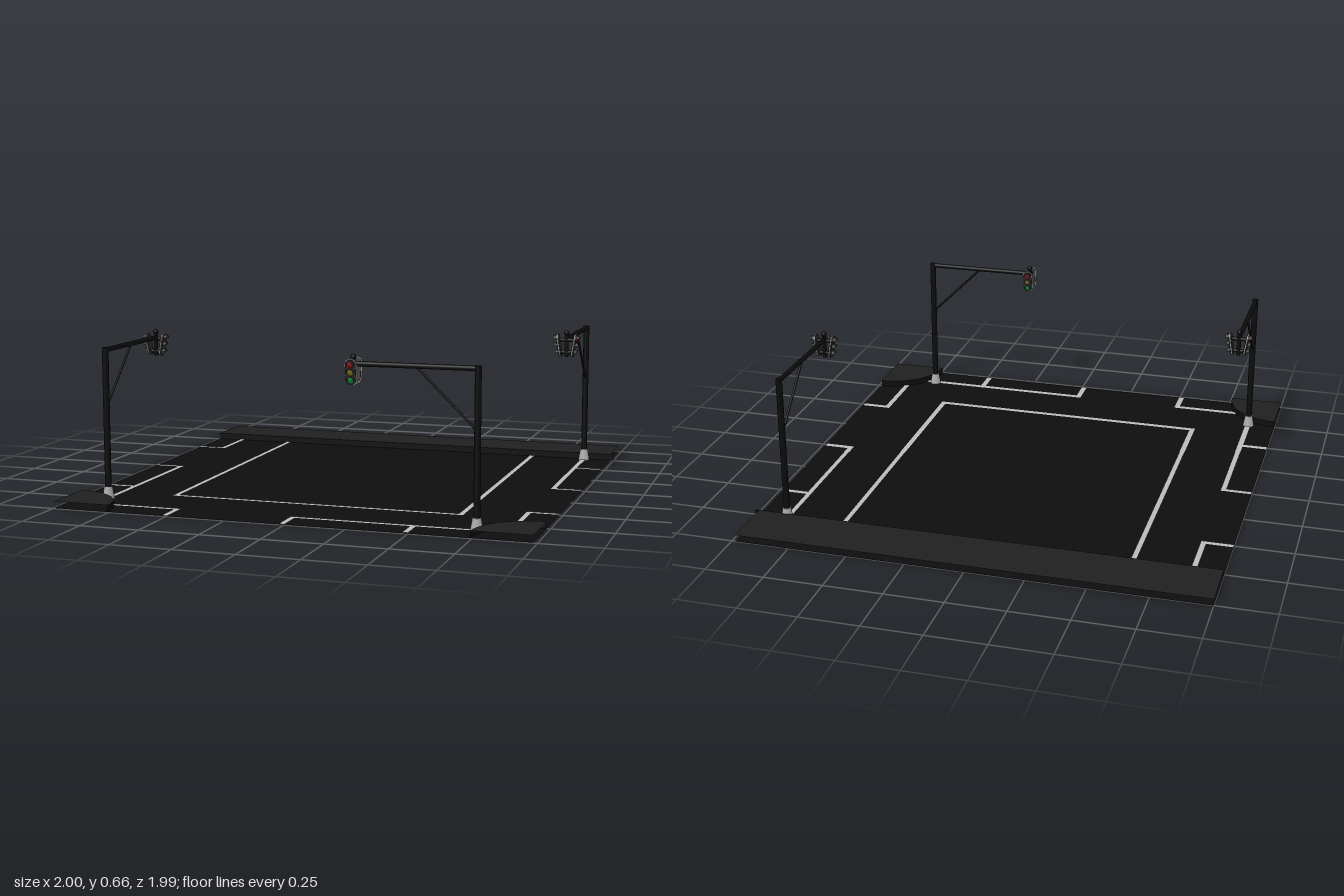
import * as THREE from 'three';

const mat = (color) => new THREE.MeshStandardMaterial({ color, side: THREE.DoubleSide });
const asphalt = mat(0x0d0d0d), walk = mat(0x202020), paint = mat(0xbbbbbb), metal = mat(0x0c0c0c);
const concrete = mat(0xaaaaaa), casing = mat(0x2a2a2a);
const lampMats = [mat(0x8a1018), mat(0x7a6420), mat(0x0f8030)];

function add(parent, name, geometry, material, x = 0, y = 0, z = 0) {
  const mesh = new THREE.Mesh(geometry, material);
  mesh.name = name;
  mesh.position.set(x, y, z);
  parent.add(mesh);
  return mesh;
}

// Flat rectangle on the ground between two corners
function ground(parent, name, x0, z0, x1, z1, y, material) {
  const g = new THREE.PlaneGeometry(x1 - x0, z1 - z0).rotateX(-Math.PI / 2);
  return add(parent, name, g, material, (x0 + x1) / 2, y, (z0 + z1) / 2);
}

// Round bar between two points
function bar(parent, name, a, b, r, material = metal) {
  const p = new THREE.Vector3(...a), q = new THREE.Vector3(...b);
  const d = q.clone().sub(p);
  const mesh = add(parent, name, new THREE.CylinderGeometry(r, r, d.length(), 12), material);
  mesh.position.copy(p).add(q).multiplyScalar(0.5);
  mesh.quaternion.setFromUnitVectors(new THREE.Vector3(0, 1, 0), d.normalize());
  return mesh;
}

// Upright plate with round ends
function capsulePlate(w, h, depth) {
  const r = w / 2, s = h / 2 - r;
  const shape = new THREE.Shape();
  shape.absarc(0, s, r, 0, Math.PI);
  shape.absarc(0, -s, r, Math.PI, Math.PI * 2);
  shape.closePath();
  return new THREE.ExtrudeGeometry(shape, { depth, bevelEnabled: false, curveSegments: 10 });
}

// Signal head facing +z, leaning forward
function signalHead() {
  const head = new THREE.Group();
  head.name = 'signalHead';
  add(head, 'rim', capsulePlate(0.05, 0.108, 0.003), concrete);
  add(head, 'casing', capsulePlate(0.042, 0.1, 0.012), casing, 0, 0, -0.004);
  lampMats.forEach((m, i) => {
    const y = 0.031 - i * 0.031;
    const lamp = add(head, 'lamp', new THREE.SphereGeometry(0.0135, 14, 8), m, 0, y, 0.008);
    lamp.scale.z = 0.4;
    const hood = new THREE.CylinderGeometry(0.0145, 0.0145, 0.014, 14, 1, true, Math.PI / 2, Math.PI);
    add(head, 'hood', hood.rotateX(Math.PI / 2), casing, 0, y, 0.014);
  });
  return head;
}

// Mast with its arm reaching along +x
function trafficLight(x, z, turn) {
  const g = new THREE.Group();
  g.name = 'trafficLight';
  g.position.set(x, 0, z);
  g.rotation.y = turn;
  const reach = 0.495, armY = 0.625;
  add(g, 'footing', new THREE.CylinderGeometry(0.017, 0.026, 0.05, 16), concrete, 0, 0.025, 0);
  bar(g, 'mast', [0, 0, 0], [0, 0.635, 0], 0.0135);
  bar(g, 'arm', [0, armY, 0], [reach, armY, 0], 0.0105);
  bar(g, 'brace', [0, 0.385, 0], [0.245, armY, 0], 0.005);
  bar(g, 'hanger', [reach, 0.545, 0], [reach, 0.65, 0], 0.009);
  add(g, 'finial', new THREE.SphereGeometry(0.012, 12, 8), metal, reach, 0.651, 0);
  bar(g, 'upperBracket', [reach, 0.62, -0.04], [reach, 0.62, 0.04], 0.008);
  bar(g, 'lowerBracket', [reach, 0.565, -0.03], [reach, 0.565, 0.03], 0.008);
  for (const side of [1, -1]) {
    const pivot = new THREE.Group();
    pivot.name = 'signalSide';
    pivot.position.set(reach, 0.596, 0);
    pivot.rotation.y = side > 0 ? 0 : Math.PI;
    const head = signalHead();
    head.position.z = 0.031;
    head.rotation.x = 0.16;
    pivot.add(head);
    g.add(pivot);
  }
  return g;
}

export function createModel() {
  const model = new THREE.Group();
  const X0 = -1, X1 = 0.984, Z0 = -1, Z1 = 0.992, curbH = 0.028, curbZ = -0.76;
  ground(model, 'road', X0, Z0, X1, Z1, 0, asphalt);

  // Straight pavement along the back, with its curb
  ground(model, 'backPavement', X0, Z0, X1, curbZ, curbH, walk);
  add(model, 'backCurb', new THREE.PlaneGeometry(2, curbH), asphalt, 0, curbH / 2, curbZ);

  // Quarter-round pavements at the front corners
  for (const [x, start, r] of [[X0, 0, 0.24], [X1, Math.PI / 2, 0.242]]) {
    const top = new THREE.CircleGeometry(r, 20, start, Math.PI / 2).rotateX(-Math.PI / 2);
    add(model, 'cornerPavement', top, walk, x, curbH, Z1);
    const wall = new THREE.CylinderGeometry(r, r, curbH, 20, 1, true, start + Math.PI / 2, Math.PI / 2);
    add(model, 'cornerCurb', wall, asphalt, x, curbH / 2, Z1);
  }

  // Painted lines, each as x0, z0, x1, z1
  const lines = [
    [-0.64, curbZ, -0.617, 0.627], [0.6, curbZ, 0.623, 0.627], [-0.617, 0.603, 0.6, 0.627],
    [-0.888, curbZ, -0.864, -0.492], [X0, -0.516, -0.888, -0.492],
    [-0.888, -0.007, -0.864, 0.785], [X0, -0.007, -0.888, 0.017], [X0, 0.48, -0.888, 0.504],
    [0.85, curbZ, 0.873, 0.006], [0.873, -0.516, X1, -0.492], [0.873, -0.018, X1, 0.006],
    [0.85, 0.48, 0.873, 0.785], [0.873, 0.48, X1, 0.504],
    [-0.8, 0.854, -0.497, 0.878], [-0.521, 0.878, -0.497, Z1],
    [-0.023, 0.854, 0.78, 0.878], [-0.023, 0.878, 0.001, Z1], [0.475, 0.878, 0.499, Z1],
  ];
  for (const l of lines) ground(model, 'paintedLine', ...l, 0.003, paint);

  // Three traffic lights
  model.add(trafficLight(-0.877, 0.745, Math.PI / 2));
  model.add(trafficLight(0.736, 0.864, Math.PI));
  model.add(trafficLight(0.862, -0.745, -Math.PI / 2));
  return model;
}
